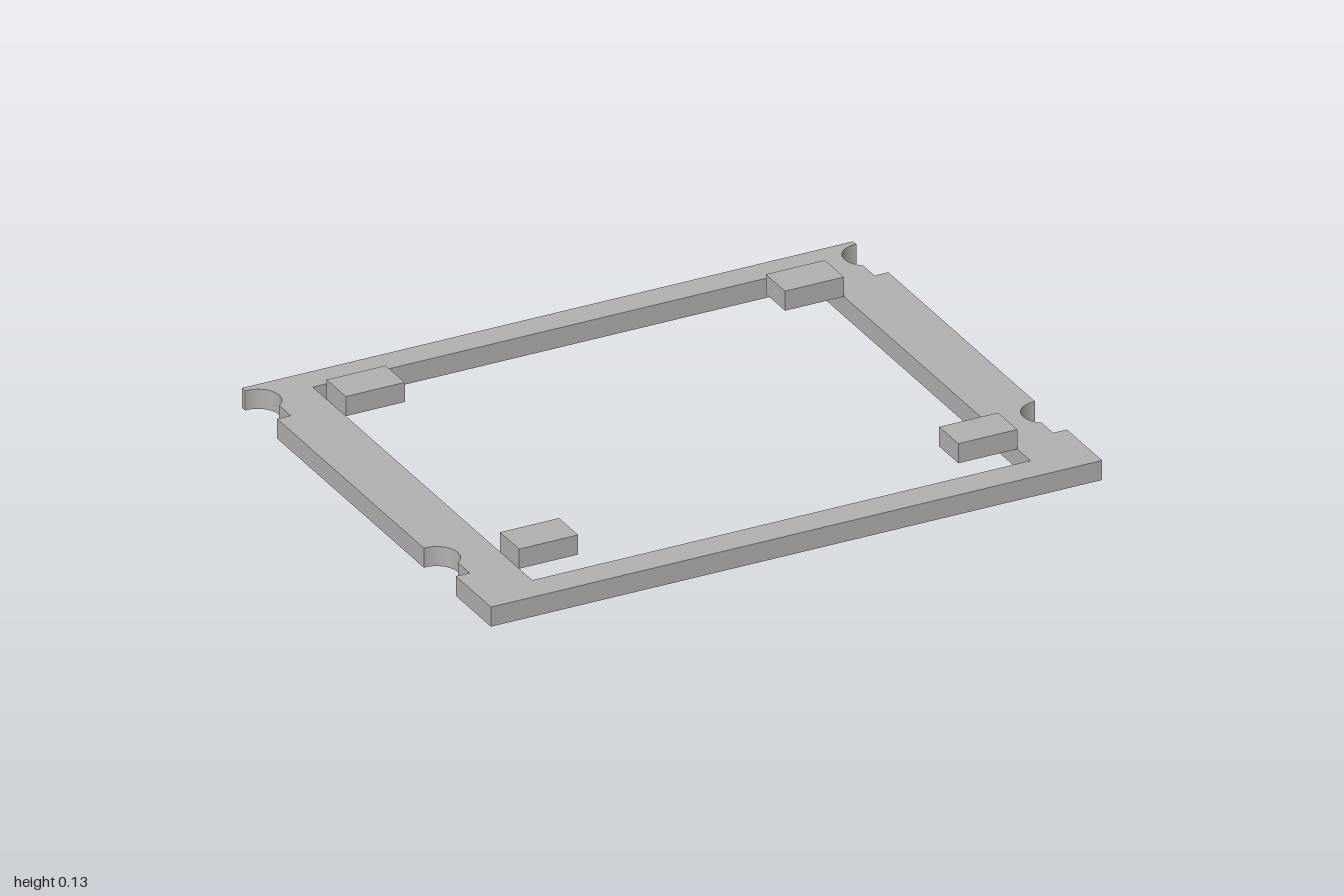
import * as THREE from 'three';
import { toCreasedNormals } from 'three/addons/utils/BufferGeometryUtils.js';

const W = 1, D = 0.78, H = 0.064; // half width, half depth, frame height

// Round bite with a small step on its front side, as [x, z] from front to back
function notch(zc) {
  const r = 0.07, cx = 0.995, stepX = 0.955;
  const points = [[W, zc + 0.13], [stepX, zc + 0.13]];
  const start = Math.acos((stepX - cx) / r);
  const end = Math.PI * 2 - Math.acos((W - cx) / r);
  const n = 20;
  for (let i = 0; i <= n; i++) {
    const a = start + (end - start) * i / n;
    points.push([cx + r * Math.cos(a), zc + r * Math.sin(a)]);
  }
  return points;
}

export function createModel() {
  const model = new THREE.Group();
  model.name = 'mountingFrame';
  const grey = new THREE.MeshStandardMaterial({ color: 0xb0b0b0 });
  grey.name = 'grey';

  // Frame outline: left-hand edge, mirrored for the other side
  const side = [[W, D], ...notch(0.43), ...notch(-0.69), [W, -D]];
  const mirrored = side.map(([x, z]) => [-x, z]).reverse();
  const toShape = ([x, z]) => new THREE.Vector2(x, -z);
  const outline = new THREE.Shape([...side, ...mirrored].map(toShape));

  // Rectangular opening
  const opening = [[-0.815, 0.685], [-0.815, -0.69], [0.815, -0.69], [0.815, 0.685]];
  outline.holes.push(new THREE.Path(opening.map(toShape)));

  const frameGeometry = new THREE.ExtrudeGeometry(outline, { depth: H, bevelEnabled: false });
  frameGeometry.rotateX(-Math.PI / 2);
  const frame = new THREE.Mesh(toCreasedNormals(frameGeometry, Math.PI / 6), grey);
  frame.name = 'frame';
  model.add(frame);

  // Four tabs raised at the inner corners
  const tabGeometry = new THREE.BoxGeometry(0.193, 0.064, 0.12);
  for (const [sx, xName] of [[1, 'Left'], [-1, 'Right']]) {
    for (const [sz, zName] of [[1, 'front'], [-1, 'back']]) {
      const tab = new THREE.Mesh(tabGeometry, grey);
      tab.name = `${zName}${xName}Tab`;
      tab.position.set(sx * 0.7185, H + 0.032, sz * 0.543);
      model.add(tab);
    }
  }
  return model;
}
